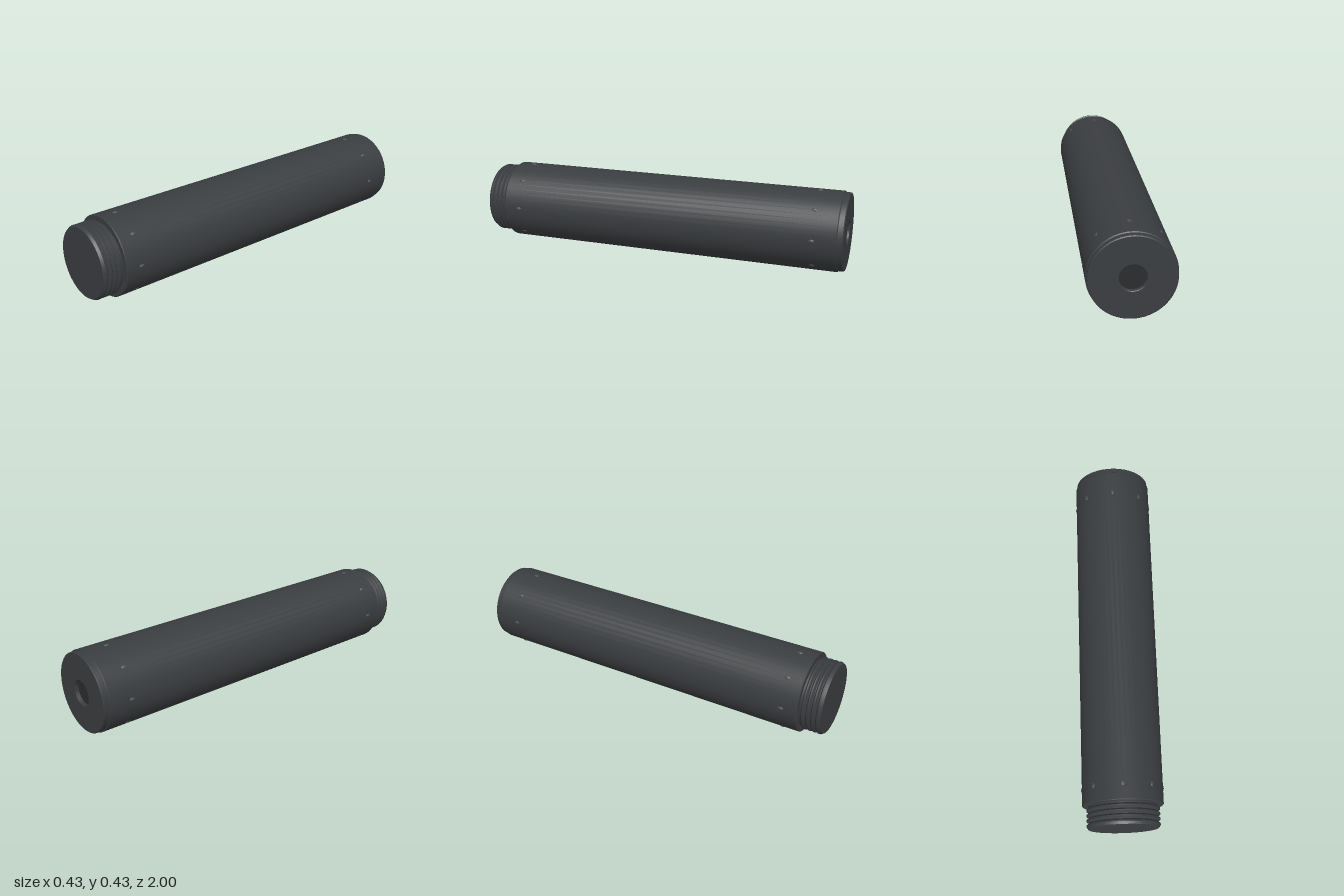
import * as THREE from 'three';
import { toCreasedNormals } from 'three/addons/utils/BufferGeometryUtils.js';

const AXIS_Y = 0.215;
const mat = (color) => new THREE.MeshStandardMaterial({ color });

// Revolves [radius, z] pairs, listed from back to front, about the z axis
function turned(name, profile, material) {
  const pts = profile.map(([r, z]) => new THREE.Vector2(r, z));
  const geo = new THREE.LatheGeometry(pts, 48).rotateX(Math.PI / 2);
  const mesh = new THREE.Mesh(toCreasedNormals(geo, Math.PI / 6), material);
  mesh.name = name;
  return mesh;
}

export function createModel() {
  const model = new THREE.Group();
  model.name = 'threadedTube';
  const dark = mat(0x3a3d40);
  const tube = new THREE.Group();
  tube.name = 'tube';
  tube.position.y = AXIS_Y;
  model.add(tube);

  // Main barrel with tiny bevels at both shoulders
  tube.add(turned('barrel', [
    [0.19, -0.97], [0.207, -0.97], [0.211, -0.966],
    [0.211, 0.881], [0.207, 0.885], [0.17, 0.885],
  ], dark));

  // Back cap with a central bore
  tube.add(turned('backCap', [
    [0.064, -0.98], [0.064, -0.997], [0.067, -1], [0.201, -1],
    [0.205, -0.996], [0.205, -0.97],
  ], dark));
  tube.add(turned('boreFloor', [[0, -0.98], [0.064, -0.98]], mat(0x2b2c2d)));

  // Threaded neck: four ridges, closed by a flat front face
  const neck = [[0.178, 0.88], [0.178, 0.894]];
  const pitch = 0.026;
  for (let i = 0; i < 4; i++) {
    const z = 0.894 + i * pitch;
    neck.push([0.19, z + 0.008], [0.19, z + 0.015]);
    if (i < 3) neck.push([0.178, z + 0.023], [0.178, z + pitch]);
  }
  neck.push([0.182, 1], [0, 1]);
  tube.add(turned('threadedNeck', neck, dark));

  // Two rings of eight small raised studs
  const studGeo = new THREE.SphereGeometry(1, 12, 8).scale(0.0075, 0.011, 0.017);
  const studMat = mat(0x4b4e51);
  for (const z of [0.8, -0.845]) {
    const ring = new THREE.Group();
    ring.name = z > 0 ? 'frontStuds' : 'backStuds';
    for (let i = 0; i < 8; i++) {
      const a = (i * Math.PI) / 4;
      const stud = new THREE.Mesh(studGeo, studMat);
      stud.name = 'stud';
      stud.position.set(0.2075 * Math.cos(a), 0.2075 * Math.sin(a), z);
      stud.rotation.z = a;
      ring.add(stud);
    }
    tube.add(ring);
  }
  return model;
}
